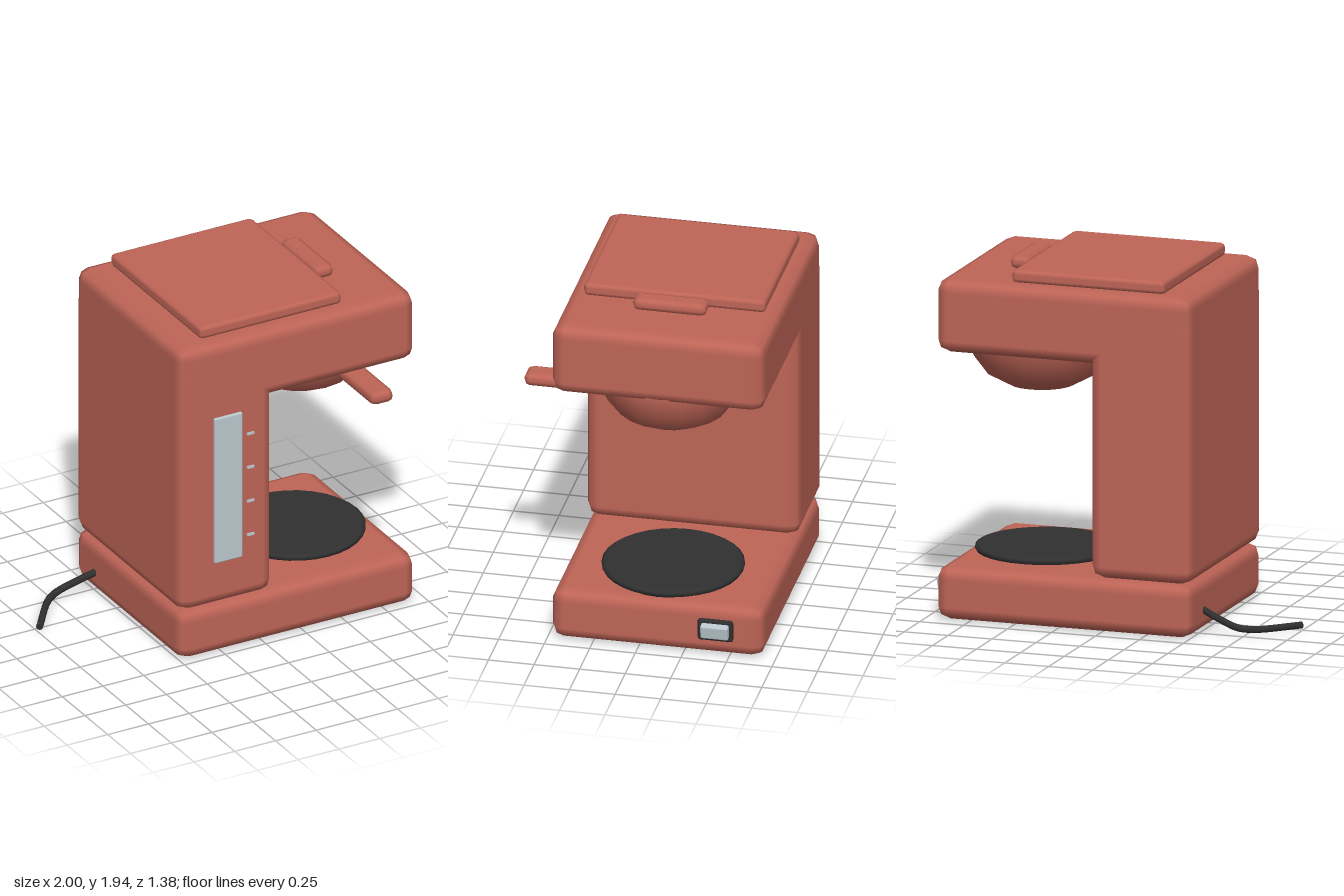
import * as THREE from 'three';
import { RoundedBoxGeometry } from 'three/addons/geometries/RoundedBoxGeometry.js';

const paint = (name, color) => {
  const m = new THREE.MeshStandardMaterial({ color });
  m.name = name;
  return m;
};

export function createModel() {
  const model = new THREE.Group();
  model.name = 'coffeeMaker';
  const red = paint('terracotta', 0xbf6557);
  const black = paint('black', 0x303030);
  const glass = paint('paleGrey', 0xbccad0);

  const add = (name, geometry, material, x = 0, y = 0, z = 0) => {
    const mesh = new THREE.Mesh(geometry, material);
    mesh.name = name;
    mesh.position.set(x, y, z);
    model.add(mesh);
    return mesh;
  };
  // Bevelled block given by its extents along each axis
  const block = (name, material, [x0, x1], [y0, y1], [z0, z1], bevel) =>
    add(name, new RoundedBoxGeometry(x1 - x0, y1 - y0, z1 - z0, 1, bevel), material,
      (x0 + x1) / 2, (y0 + y1) / 2, (z0 + z1) / 2);

  // Body: base, water tower and overhanging head
  block('base', red, [-0.515, 0.94], [0, 0.295], [-0.69, 0.48], 0.07);
  block('tower', red, [-0.517, 0.062], [0.295, 1.75], [-0.692, 0.482], 0.07);
  block('head', red, [-0.515, 0.94], [1.47, 1.875], [-0.69, 0.48], 0.07);

  // Lid and its grip
  block('lid', red, [-0.34, 0.53], [1.87, 1.943], [-0.61, 0.39], 0.025);
  block('lidGrip', red, [0.535, 0.65], [1.87, 1.943], [-0.31, 0.097], 0.034);

  // Filter basket: faceted bowl under the head
  const bowl = [[0, 1.195], [0.18, 1.21], [0.3, 1.275], [0.375, 1.375], [0.397, 1.47], [0.397, 1.5]]
    .map(([r, y]) => new THREE.Vector2(r, y));
  const bowlMesh = add('filterBasket', new THREE.LatheGeometry(bowl, 20), red, 0.535, 0, -0.1);
  bowlMesh.material.side = THREE.DoubleSide;
  block('basketHandle', red, [0.55, 0.69], [1.37, 1.447], [0.2, 0.685], 0.036);

  // Hot plate with a softened rim
  const plate = [[0, 0.28], [0.37, 0.28], [0.384, 0.305], [0.384, 0.32], [0.37, 0.33]]
    .map(([r, y]) => new THREE.Vector2(r, y));
  add('hotPlateRim', new THREE.LatheGeometry(plate, 32), black, 0.508, 0, -0.1);
  const disc = add('hotPlateTop', new THREE.CircleGeometry(0.37, 32), black, 0.508, 0.33, -0.1);
  disc.rotation.x = -Math.PI / 2;

  // Water gauge and level marks
  block('waterGauge', glass, [-0.312, -0.14], [0.56, 1.435], [0.47, 0.498], 0.008);
  for (const y of [0.68, 0.883, 1.087, 1.29]) {
    add('levelMark', new THREE.BoxGeometry(0.042, 0.014, 0.02), glass, -0.087, y, 0.48);
  }

  // Power switch on the left side
  block('switchFrame', black, [0.92, 0.96], [0.095, 0.22], [-0.525, -0.33], 0.015);
  const rocker = block('switchRocker', glass, [0.94, 0.99], [0.12, 0.2], [-0.505, -0.352], 0.01);
  rocker.rotation.z = -0.17;

  // Power cord
  const cord = new THREE.CatmullRomCurve3([
    [-0.48, 0.135, -0.455], [-0.62, 0.08, -0.488], [-0.72, 0.046, -0.497],
    [-0.8, 0.034, -0.455], [-0.985, 0.022, -0.225],
  ].map((p) => new THREE.Vector3(...p)));
  add('cord', new THREE.TubeGeometry(cord, 24, 0.02, 8), black);
  const end = add('cordEnd', new THREE.CircleGeometry(0.02, 8), black, -0.985, 0.022, -0.225);
  end.lookAt(end.position.clone().add(cord.getTangent(1)));

  return model;
}
